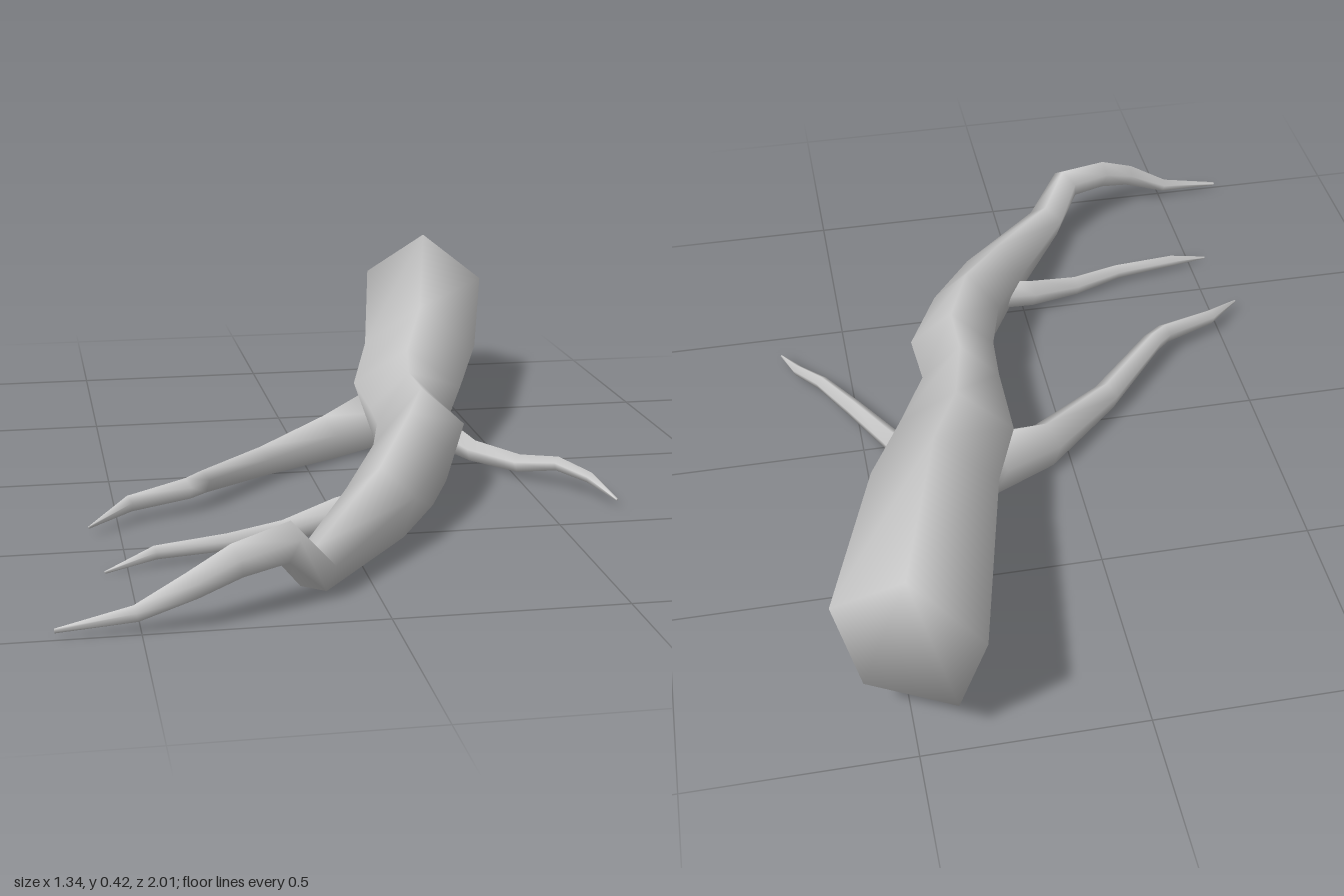
import * as THREE from 'three';

const SIDES = 5;
const material = new THREE.MeshStandardMaterial({ color: 0xcccccc });

// Five-sided tapering limb swept through stations [x, y, z, halfWidth, halfHeight].
function limb(name, stations, startDir) {
  const points = stations.map(([x, y, z]) => new THREE.Vector3(x, y, z));
  const last = points.length - 1;
  const up = new THREE.Vector3(0, 1, 0);
  const positions = [];
  const index = [];

  stations.forEach(([, , , rx, ry = rx], k) => {
    const t = points[Math.min(k + 1, last)].clone().sub(points[Math.max(k - 1, 0)]);
    if (k === 0 && startDir) t.set(...startDir);
    t.normalize();
    const right = up.clone().cross(t).normalize();
    const normal = t.clone().cross(right);
    for (let i = 0; i < SIDES; i++) {
      const a = (i / SIDES) * Math.PI * 2;
      const p = points[k].clone()
        .addScaledVector(right, Math.sin(a) * rx)
        .addScaledVector(normal, Math.cos(a) * ry);
      positions.push(p.x, p.y, p.z);
    }
  });

  // walls
  for (let k = 0; k < last; k++) {
    for (let i = 0; i < SIDES; i++) {
      const j = (i + 1) % SIDES;
      const a = k * SIDES + i, b = k * SIDES + j;
      index.push(a, a + SIDES, b, b, a + SIDES, b + SIDES);
    }
  }
  // caps share the wall vertices so the shading stays smooth
  const e = last * SIDES;
  for (let i = 1; i < SIDES - 1; i++) {
    index.push(0, i, i + 1, e, e + i + 1, e + i);
  }

  const geometry = new THREE.BufferGeometry();
  geometry.setAttribute('position', new THREE.Float32BufferAttribute(positions, 3));
  geometry.setIndex(index);
  geometry.computeVertexNormals();
  const mesh = new THREE.Mesh(geometry, material);
  mesh.name = name;
  return mesh;
}

export function createModel() {
  const model = new THREE.Group();
  model.name = 'treeRoot';

  // thick main root, from the cut end to the curled tip
  model.add(limb('mainRoot', [
    [0.50, 0.265, -0.92, 0.181, 0.175],
    [0.37, 0.19, -0.39, 0.155, 0.155],
    [0.285, 0.145, -0.16, 0.145, 0.14],
    [0.243, 0.14, 0.04, 0.10, 0.133],
    [0.243, 0.14, 0.18, 0.11, 0.13],
    [0.18, 0.135, 0.35, 0.092, 0.125],
    [0.07, 0.105, 0.55, 0.087, 0.09],
    [-0.13, 0.07, 0.84, 0.052, 0.05],
    [-0.20, 0.155, 0.90, 0.045, 0.045],
    [-0.31, 0.14, 0.95, 0.036, 0.038],
    [-0.40, 0.105, 0.982, 0.027, 0.03],
    [-0.51, 0.055, 0.984, 0.017, 0.018],
    [-0.67, 0.033, 0.994, 0.004, 0.005],
  ], [-0.47, -0.04, 0.88]));

  // side root sweeping out to the right near the middle
  model.add(limb('rightRearRoot', [
    [0.22, 0.10, -0.20, 0.085, 0.08],
    [0.06, 0.065, -0.12, 0.055, 0.06],
    [-0.13, 0.06, 0.04, 0.036, 0.038],
    [-0.295, 0.073, 0.22, 0.027, 0.028],
    [-0.335, 0.07, 0.255, 0.026, 0.026],
    [-0.475, 0.06, 0.315, 0.019, 0.02],
    [-0.57, 0.037, 0.40, 0.003],
  ]));

  // slim side root nearer the tip
  model.add(limb('rightFrontRoot', [
    [0.07, 0.09, 0.49, 0.04],
    [-0.02, 0.075, 0.50, 0.036],
    [-0.15, 0.052, 0.54, 0.026],
    [-0.28, 0.05, 0.585, 0.02],
    [-0.44, 0.045, 0.612, 0.016],
    [-0.55, 0.018, 0.645, 0.003],
  ]));

  // small root on the opposite side
  model.add(limb('leftRoot', [
    [0.34, 0.07, -0.22, 0.045],
    [0.385, 0.06, -0.11, 0.036, 0.04],
    [0.43, 0.045, -0.01, 0.028],
    [0.51, 0.05, 0.13, 0.023],
    [0.58, 0.073, 0.22, 0.018],
    [0.635, 0.06, 0.30, 0.014],
    [0.67, 0.035, 0.40, 0.003],
  ]));

  return model;
}
